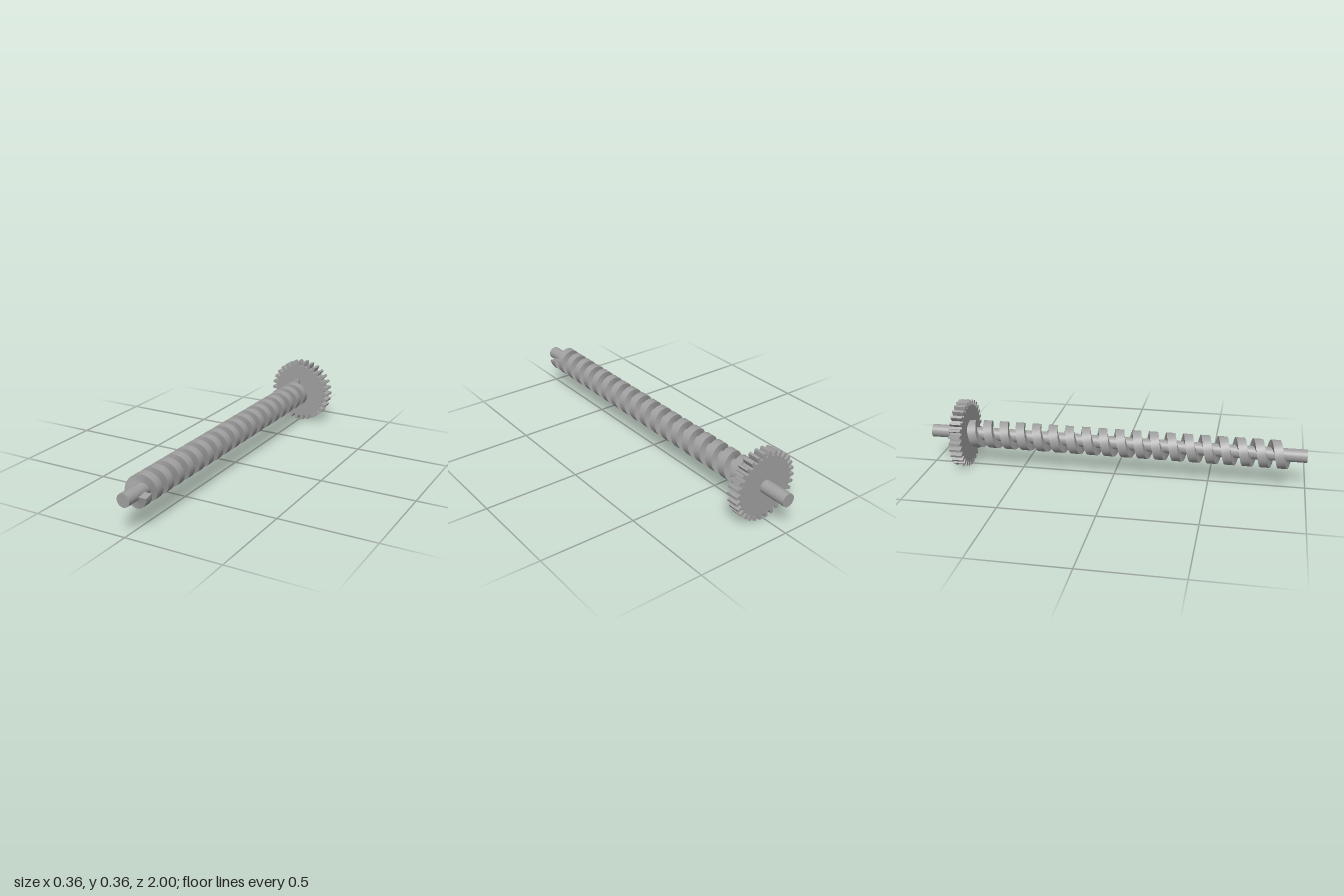
import * as THREE from 'three';

const AXIS_Y = 0.18;

// Helical ridge of rectangular section, wound around z; each side is its own smooth strip.
function threadGeometry({ inner, outer, width, pitch, turns, startZ, stepsPerTurn }) {
  const steps = Math.round(turns * stepsPerTurn);
  const lead = Math.atan(pitch / (2 * Math.PI * outer));
  const section = [[inner, -width / 2], [outer, -width / 2], [outer, width / 2], [inner, width / 2]];
  const corner = (i, j) => {
    const t = (i / stepsPerTurn) * Math.PI * 2;
    const [r, w] = section[j % 4];
    const c = Math.cos(-t), s = Math.sin(-t);
    const side = w * Math.sin(lead);
    return [r * c + side * s, r * s - side * c, startZ - pitch * t / (2 * Math.PI) + w * Math.cos(lead)];
  };
  const pos = [], index = [];
  for (let j = 0; j < 4; j++) {
    const base = pos.length / 3;
    for (let i = 0; i <= steps; i++) pos.push(...corner(i, j), ...corner(i, j + 1));
    for (let i = 0; i < steps; i++) {
      const a = base + i * 2;
      index.push(a, a + 1, a + 3, a, a + 3, a + 2);
    }
  }
  // End caps
  for (const [i, order] of [[0, [0, 3, 2, 1]], [steps, [0, 1, 2, 3]]]) {
    const base = pos.length / 3;
    order.forEach((j) => pos.push(...corner(i, j)));
    index.push(base, base + 1, base + 2, base, base + 2, base + 3);
  }
  const geo = new THREE.BufferGeometry();
  geo.setAttribute('position', new THREE.Float32BufferAttribute(pos, 3));
  geo.setIndex(index);
  geo.computeVertexNormals();
  return geo;
}

// Spur gear outline: each tooth narrows from root to tip.
function gearGeometry(teeth, root, tip, depth) {
  const tooth = [[root, -0.0098], [root + 0.014, -0.0088], [tip, -0.0065],
    [tip, 0.0065], [root + 0.014, 0.0088], [root, 0.0098]];
  const points = [];
  for (let k = 0; k < teeth; k++) {
    const a = (k / teeth) * Math.PI * 2;
    for (const [r, half] of tooth) {
      const b = a + half / r;
      points.push(new THREE.Vector2(r * Math.cos(b), r * Math.sin(b)));
    }
  }
  return new THREE.ExtrudeGeometry(new THREE.Shape(points), { depth, bevelEnabled: false });
}

export function createModel() {
  const group = new THREE.Group();
  group.name = 'wormShaftWithGear';
  const steel = new THREE.MeshStandardMaterial({ color: 0xa0a0a0 });
  steel.name = 'greySteel';

  const add = (name, geometry, z = 0) => {
    const mesh = new THREE.Mesh(geometry, steel);
    mesh.name = name;
    mesh.position.set(0, AXIS_Y, z);
    group.add(mesh);
  };

  // Shaft running the full length
  add('shaft', new THREE.CylinderGeometry(0.034, 0.034, 2, 48).rotateX(Math.PI / 2));

  // Worm thread, ending at the gear face
  add('wormThread', threadGeometry({
    inner: 0.032, outer: 0.073, width: 0.046, pitch: 0.09, turns: 18.75, startZ: 0.908, stepsPerTurn: 48,
  }));

  // Gear near the back end
  add('gear', gearGeometry(30, 0.153, 0.18, 0.062), -0.852);

  return group;
}
